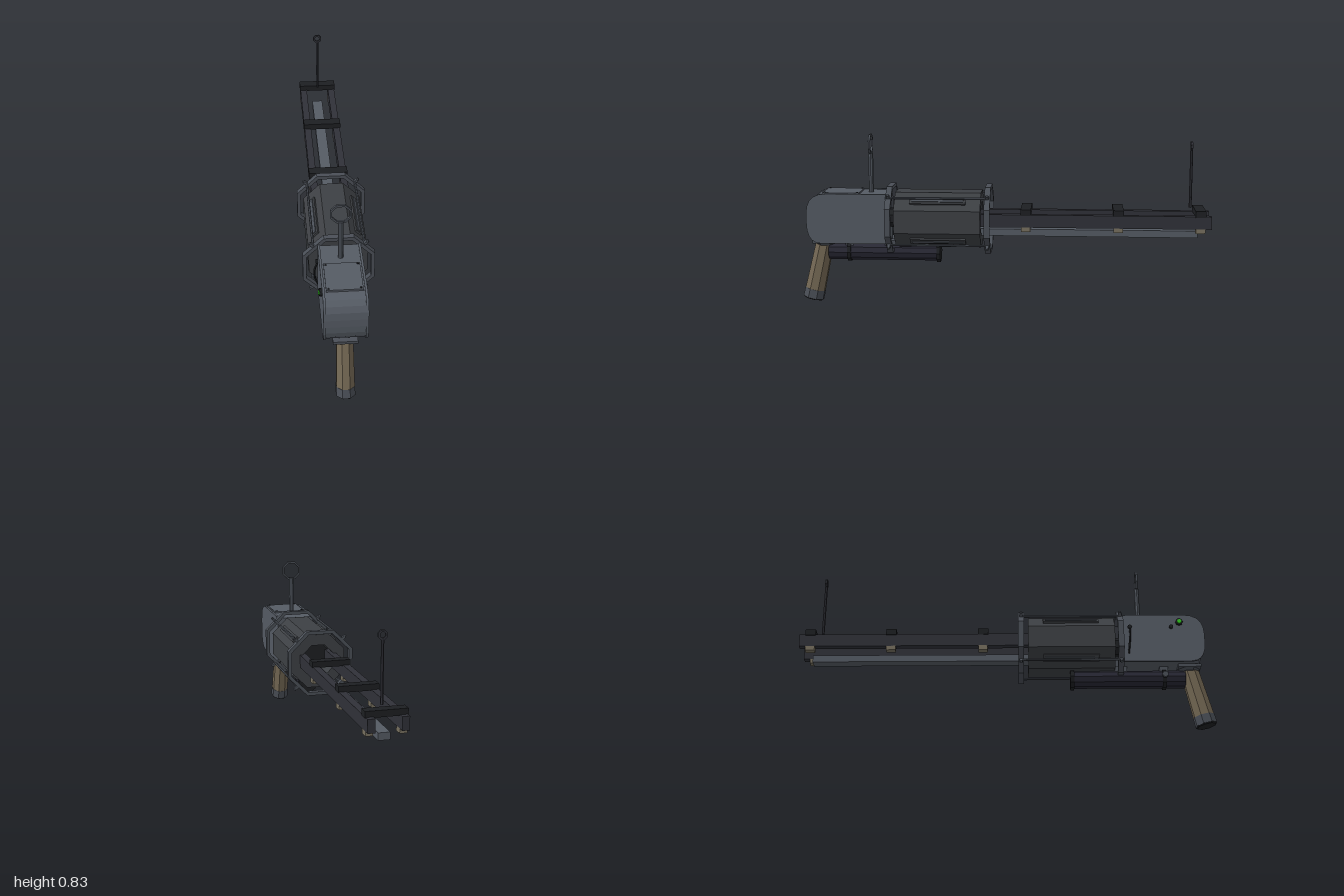
import * as THREE from 'three';

const mat = (color) => new THREE.MeshStandardMaterial({ color, flatShading: true });
const M = {
  steel: mat(0x555b64), frame: mat(0x4a4f57), drum: mat(0x3d4044), rail: mat(0x303138),
  dark: mat(0x1d1f22), tube: mat(0x282834), grip: mat(0x746854), brass: mat(0x77705f), lamp: mat(0x33cc22),
};
const CY = 0.436; // height of the drum axis

// Regular octagon with flat sides up, given by its apothem
function octagon(apothem, Type = THREE.Shape) {
  const s = new Type(), r = apothem / Math.cos(Math.PI / 8);
  for (let i = 0; i < 8; i++) {
    const a = (i + 0.5) * Math.PI / 4;
    s[i ? 'lineTo' : 'moveTo'](r * Math.cos(a), r * Math.sin(a));
  }
  s.closePath();
  return s;
}

// Octagonal ring along z, centred on its own depth
function ringGeometry(outer, inner, depth) {
  const s = octagon(outer);
  s.holes.push(octagon(inner, THREE.Path));
  return new THREE.ExtrudeGeometry(s, { depth, bevelEnabled: false }).translate(0, 0, -depth / 2);
}

// Side outline of the receiver, z to the right, rounded at the back
function receiverShape(grow) {
  const z0 = 0.566, z1 = 0.955 + grow, y0 = 0.324 - grow, y1 = 0.561 + grow, r = 0.1;
  const s = new THREE.Shape();
  s.moveTo(z0, y0);
  s.lineTo(z1 - r * 0.7, y0);
  s.quadraticCurveTo(z1, y0, z1, y0 + r);
  s.lineTo(z1, y1 - r);
  s.quadraticCurveTo(z1, y1, z1 - r, y1);
  s.lineTo(z0, y1);
  s.closePath();
  return s;
}

export function createModel() {
  const root = new THREE.Group();
  const add = (name, geo, material, x = 0, y = 0, z = 0, parent = root) => {
    const m = new THREE.Mesh(geo, material);
    m.name = name;
    m.position.set(x, y, z);
    parent.add(m);
    return m;
  };
  const box = (name, w, h, d, material, x, y, z, parent) =>
    add(name, new THREE.BoxGeometry(w, h, d), material, x, y, z, parent);
  // Cylinder lying along z
  const rod = (name, r, len, sides, material, x, y, z, parent) =>
    add(name, new THREE.CylinderGeometry(r, r, len, sides).rotateY(Math.PI / sides).rotateX(Math.PI / 2), material, x, y, z, parent);

  // Receiver: core between two slightly larger side plates
  const slab = (name, grow, from, to) => {
    const g = new THREE.ExtrudeGeometry(receiverShape(grow), { depth: to - from, bevelEnabled: false, curveSegments: 5 });
    add(name, g.rotateY(-Math.PI / 2), M.steel, to, 0, 0);
  };
  slab('receiver', 0, -0.088, 0.088);
  slab('receiverPlateLeft', 0.004, 0.086, 0.097);
  slab('receiverPlateRight', 0.004, -0.097, -0.086);
  box('topCover', 0.16, 0.012, 0.18, M.steel, 0, 0.562, 0.79);
  for (const x of [-0.07, 0.07]) for (const z of [0.71, 0.87])
    add('coverScrew', new THREE.CylinderGeometry(0.005, 0.005, 0.004, 6), M.dark, x, 0.569, z);

  // Lamp, buttons and cable on the right side
  const button = (name, r, len, material, y, z) =>
    add(name, new THREE.CylinderGeometry(r, r, len, 8).rotateZ(Math.PI / 2), material, -0.097 - len / 2, y, z);
  button('lampRim', 0.018, 0.01, M.dark, 0.525, 0.84);
  button('lamp', 0.011, 0.015, M.lamp, 0.525, 0.84);
  button('sideButton', 0.01, 0.01, M.dark, 0.5, 0.8);
  button('sideButton', 0.01, 0.01, M.dark, 0.5, 0.6);
  const cable = new THREE.CatmullRomCurve3([[-0.096, 0.5, 0.6], [-0.111, 0.46, 0.6], [-0.111, 0.41, 0.595], [-0.096, 0.36, 0.59]]
    .map((p) => new THREE.Vector3(...p)));
  add('cable', new THREE.TubeGeometry(cable, 10, 0.005, 5), M.dark);

  // Drum: octagonal shell with an open front end and an inner core
  const drumShape = octagon(0.134);
  drumShape.holes.push(octagon(0.08, THREE.Path));
  add('drum', new THREE.ExtrudeGeometry(drumShape, { depth: 0.418, bevelEnabled: false }), M.drum, 0, CY, 0.108);
  rod('drumCore', 0.085, 0.3, 8, M.dark, 0, CY, 0.375);
  rod('drumAxle', 0.048, 0.1, 8, M.dark, 0, CY, 0.54);

  // Raised ribs and cage rods on the diagonal sides
  for (let i = 0; i < 4; i++) {
    const a = Math.PI / 4 + i * Math.PI / 2;
    const side = new THREE.Group();
    side.name = 'cageSide';
    side.position.y = CY;
    side.rotation.z = a;
    root.add(side);
    box('drumRib', 0.018, 0.036, 0.27, M.drum, 0.134, 0, 0.315, side);
    box('drumRibCap', 0.008, 0.016, 0.25, M.frame, 0.143, 0, 0.315, side);
    rod('cageRod', 0.006, 0.49, 6, M.frame, 0.163, 0, 0.315, side);
    for (const z of [0.074, 0.552]) {
      box('rodLug', 0.02, 0.012, 0.016, M.frame, 0.17, 0, z, side);
      const pin = add('rodPin', new THREE.CylinderGeometry(0.007, 0.007, 0.01, 6), M.frame, 0.182, 0, z, side);
      pin.rotation.z = Math.PI / 2;
    }
  }
  for (const z of [0.074, 0.552]) {
    add('cageRing', ringGeometry(0.163, 0.146, 0.028), M.frame, 0, CY, z);
  }

  // Twin rails with clamps above and tabs below
  for (const x of [-0.075, 0.075]) box('rail', 0.034, 0.062, 1.2, M.rail, x, 0.44, -0.4);
  for (const z of [-0.11, -0.555, -0.947]) {
    box('railClamp', 0.19, 0.03, 0.05, M.dark, 0, 0.482, z);
    for (const x of [-0.075, 0.075]) box('railTab', 0.034, 0.022, 0.045, M.brass, x, 0.399, z);
  }
  box('lowerBar', 0.054, 0.034, 1.1, M.steel, 0, 0.372, -0.39);

  // Sights
  add('rearSightPost', new THREE.CylinderGeometry(0.012, 0.012, 0.195, 8), M.steel, 0, 0.66, 0.652);
  add('rearSightRing', ringGeometry(0.047, 0.038, 0.01), M.frame, 0, 0.799, 0.652);
  add('frontSightPost', new THREE.CylinderGeometry(0.007, 0.007, 0.28, 6), M.rail, 0, 0.64, -0.903);
  add('frontSightRing', ringGeometry(0.021, 0.012, 0.01), M.rail, 0, 0.799, -0.903);

  // Tube under the body, with clamps and a side knob
  rod('underTube', 0.043, 0.55, 10, M.tube, 0, 0.265, 0.59);
  for (const z of [0.763, 0.32]) rod('tubeBand', 0.05, 0.018, 10, M.dark, 0, 0.265, z);
  box('tubeMount', 0.05, 0.04, 0.04, M.frame, 0, 0.315, 0.763);
  box('tubeMount', 0.05, 0.04, 0.13, M.frame, 0, 0.305, 0.52);
  for (const z of [0.763]) {
    add('knobStem', new THREE.CylinderGeometry(0.006, 0.006, 0.03, 6).rotateZ(Math.PI / 2), M.frame, -0.055, 0.265, z);
    add('knob', new THREE.CylinderGeometry(0.015, 0.015, 0.016, 8).rotateZ(Math.PI / 2), M.frame, -0.07, 0.262, z);
  }

  // Grip: tilted eight-sided handle with collar and butt cap
  box('gripCollar', 0.11, 0.014, 0.11, M.frame, 0, 0.317, 0.885);
  const collar = new THREE.CylinderGeometry(0.055, 0.042, 0.014, 8).rotateY(Math.PI / 8);
  add('gripCollarTaper', collar, M.frame, 0, 0.304, 0.885);
  const grip = new THREE.Group();
  grip.name = 'grip';
  grip.position.set(0, 0.305, 0.889);
  grip.rotation.x = -0.225;
  root.add(grip);
  const handle = (name, rTop, rBottom, h, material, y) =>
    add(name, new THREE.CylinderGeometry(rTop, rBottom, h, 8).rotateY(Math.PI / 8).scale(1, 1, 1.17), material, 0, y, 0, grip);
  handle('gripHandle', 0.039, 0.044, 0.24, M.grip, -0.12);
  handle('gripCap', 0.045, 0.046, 0.045, M.frame, -0.262);
  handle('gripCapBase', 0.044, 0.04, 0.006, M.dark, -0.287);

  return root;
}
